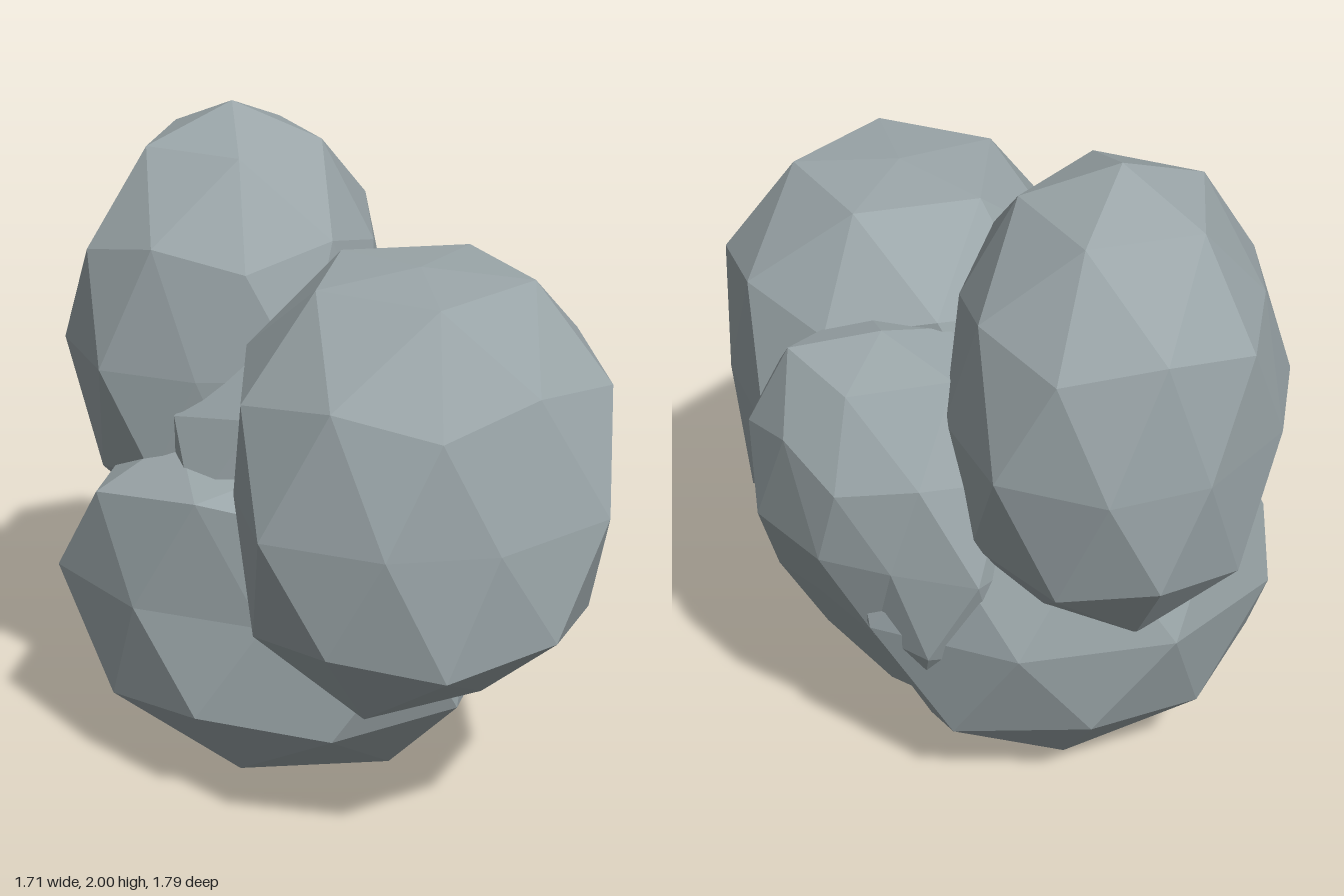
import * as THREE from 'three';

// Each boulder: centre, radii, box limits, and the planes that scrape it flat.
// A cut is [nx, ny, nz, distance from the centre].
const BOULDERS = [
  {
    name: 'upperBackBoulder', c: [-0.37, 1.29, -0.33], r: [0.52, 0.71, 0.59],
    min: [-0.87, 0, -0.9], max: [0.09, 2, 0.21],
    cuts: [[-0.83, 0.56, 0, 0.52], [-0.92, -0.39, 0, 0.48], [0.9, 0.43, 0, 0.52], [-0.83, 0, -0.56, 0.47]],
  },
  {
    name: 'frontBoulder', c: [0.29, 1.07, 0.29], r: [0.6, 0.71, 0.65],
    min: [-0.2, 0.385, -0.24], max: [0.86, 1.695, 0.89],
    cuts: [[-0.6, -0.8, 0, 0.555], [0.57, -0.82, 0, 0.575], [0, -0.72, -0.69, 0.5],
      [0.94, 0, -0.33, 0.54], [0.7, 0.2, 0.68, 0.515]],
  },
  {
    name: 'baseBoulder', c: [-0.13, 0.64, -0.09], r: [0.75, 0.69, 0.64],
    min: [-0.84, 0.005, -0.73], max: [0.44, 1.09, 0.45],
    cuts: [[0.75, -0.45, -0.48, 0.57], [-0.6, 0, 0.8, 0.616], [-0.85, 0.53, 0, 0.62]],
  },
  {
    name: 'rearBoulder', c: [0.28, 0.87, -0.33], r: [0.5, 0.625, 0.48],
    min: [-0.3, 0, -0.7], max: [0.67, 1.49, 0.2],
    cuts: [[0, 0.97, -0.23, 0.575], [0, 0.58, -0.81, 0.42], [0.72, 0, -0.69, 0.3],
      [0.18, 0, -0.98, 0.31], [0.62, -0.45, -0.62, 0.285]],
  },
  {
    name: 'coreBoulder', c: [-0.02, 0.93, -0.03], r: [0.58, 0.56, 0.43],
    min: [-0.48, 0.4, -0.4], max: [0.45, 1.49, 0.32], cuts: [],
  },
];

// Faceted ball with a corner pointing straight up, stretched and scraped flat
function boulderGeometry({ c, r, min, max, cuts }) {
  const geo = new THREE.IcosahedronGeometry(1, 1);
  geo.rotateZ(-Math.atan(2 / (1 + Math.sqrt(5))));
  geo.scale(...r);
  const centre = new THREE.Vector3(...c);
  const lo = new THREE.Vector3(...min);
  const hi = new THREE.Vector3(...max);
  const planes = cuts.map(([x, y, z, d]) => new THREE.Plane(new THREE.Vector3(x, y, z).normalize(), -d));
  const pos = geo.attributes.position;
  const v = new THREE.Vector3();
  for (let i = 0; i < pos.count; i++) {
    v.fromBufferAttribute(pos, i);
    for (const plane of planes) {
      if (plane.distanceToPoint(v) > 0) plane.projectPoint(v, v);
    }
    v.add(centre).clamp(lo, hi);
    pos.setXYZ(i, v.x, v.y, v.z);
  }
  geo.computeVertexNormals();
  return geo;
}

export function createModel() {
  const group = new THREE.Group();
  group.name = 'boulderCluster';
  const stone = new THREE.MeshStandardMaterial({ color: 0x9ba6a9, flatShading: true });
  stone.name = 'greyStone';
  for (const boulder of BOULDERS) {
    const mesh = new THREE.Mesh(boulderGeometry(boulder), stone);
    mesh.name = boulder.name;
    group.add(mesh);
  }
  return group;
}
